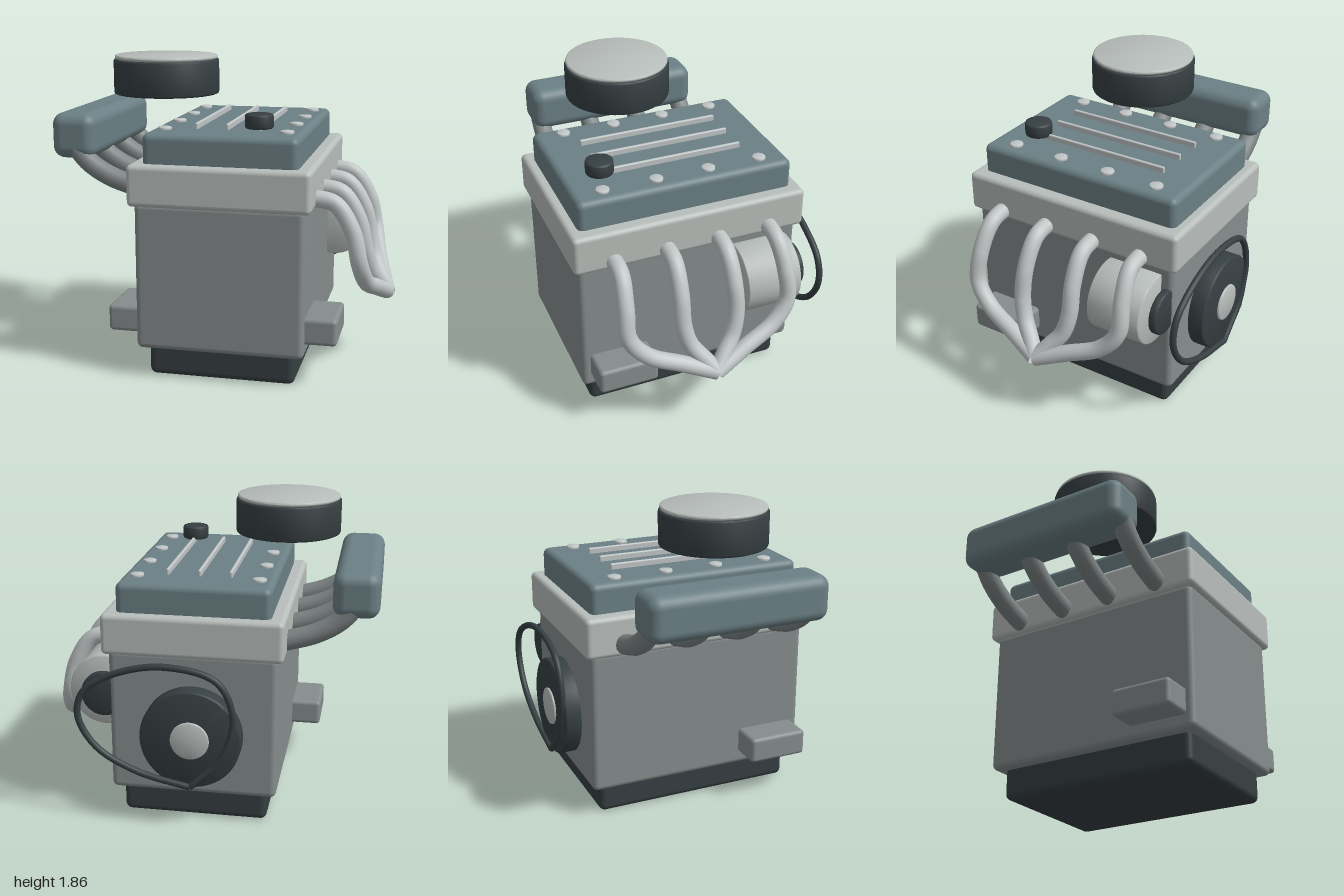
import * as THREE from 'three';
import { RoundedBoxGeometry } from 'three/addons/geometries/RoundedBoxGeometry.js';
import { toCreasedNormals } from 'three/addons/utils/BufferGeometryUtils.js';

const mat = (color) => new THREE.MeshStandardMaterial({ color, side: THREE.DoubleSide });

export function createModel() {
  const group = new THREE.Group();
  const dark = mat(0x363f42), teal = mat(0x6b8085), iron = mat(0x868d8d);
  const alloy = mat(0xb8bebb), steel = mat(0xc0c5c5), runnerGrey = mat(0x808686);

  function add(name, geometry, material) {
    const mesh = new THREE.Mesh(geometry, material);
    mesh.name = name;
    group.add(mesh);
    return mesh;
  }
  // Rounded box given by its extents
  function box(name, [x0, x1], [y0, y1], [z0, z1], r, material) {
    const g = new RoundedBoxGeometry(x1 - x0, y1 - y0, z1 - z0, 4, r);
    g.translate((x0 + x1) / 2, (y0 + y1) / 2, (z0 + z1) / 2);
    return add(name, g, material);
  }
  // Disc with softened rims, lying along y or z from a to b
  function disc(name, axis, radius, a, b, [u, v], bevel, material) {
    const pts = [[0, a], [radius - bevel, a], [radius - bevel * 0.3, a + bevel * 0.3], [radius, a + bevel],
      [radius, b - bevel], [radius - bevel * 0.3, b - bevel * 0.3], [radius - bevel, b], [0, b]];
    const g = new THREE.LatheGeometry(pts.map((p) => new THREE.Vector2(...p)), 48);
    if (axis === 'z') g.rotateX(Math.PI / 2).translate(u, v, 0);
    else g.translate(u, 0, v);
    return add(name, toCreasedNormals(g, 0.9), material);
  }
  function tube(name, points, radius, material, segments = 48) {
    const curve = new THREE.CatmullRomCurve3(points.map((p) => new THREE.Vector3(...p)));
    return add(name, new THREE.TubeGeometry(curve, segments, radius, 16), material);
  }

  // Main castings
  box('oilPan', [-0.385, 0.49], [0, 0.22], [-0.585, 0.68], 0.04, dark);
  box('engineBlock', [-0.445, 0.55], [0.18, 1.06], [-0.645, 0.74], 0.035, iron);
  box('cylinderHead', [-0.48, 0.585], [1.04, 1.285], [-0.68, 0.77], 0.03, alloy);
  box('valveCover', [-0.4, 0.505], [1.25, 1.46], [-0.62, 0.71], 0.04, teal);
  box('rightMount', [-0.63, -0.4], [0.26, 0.42], [0.32, 0.69], 0.025, iron);
  box('leftMount', [0.5, 0.735], [0.26, 0.42], [0.32, 0.69], 0.025, iron);

  // Cover ribs, bolts and filler cap
  for (const x of [-0.135, 0.05, 0.24])
    box('coverRib', [x - 0.01, x + 0.01], [1.45, 1.495], [-0.4, 0.48], 0.008, steel);
  const cylinders = [-0.445, -0.12, 0.205, 0.53];
  for (const z of cylinders)
    for (const x of [-0.31, 0.41])
      disc('coverBolt', 'y', 0.04, 1.45, 1.476, [x, z], 0.004, steel);
  disc('oilCap', 'y', 0.083, 1.478, 1.562, [0.24, 0.487], 0.012, dark);

  // Air filter
  disc('airFilter', 'y', 0.322, 1.625, 1.836, [-0.41, 0.137], 0.012, dark);
  disc('airFilterLid', 'y', 0.314, 1.836, 1.86, [-0.41, 0.137], 0.01, alloy);

  // Intake side
  box('intakePlenum', [-1, -0.73], [1.27, 1.54], [-0.51, 0.59], 0.07, teal);
  for (const z of cylinders)
    tube('intakeRunner', [[-0.88, 1.37, z], [-0.78, 1.25, z], [-0.64, 1.165, z], [-0.43, 1.1, z]], 0.06, runnerGrey);

  // Exhaust pipes merging at one point: x, y, share of the way to the merge
  const pipePath = [[0.54, 1.095, 0], [0.69, 1.065, 0], [0.795, 0.91, -0.03], [0.84, 0.72, -0.03],
    [0.87, 0.59, 0.18], [0.915, 0.5, 0.6], [0.965, 0.42, 1]];
  for (const z of cylinders)
    tube('exhaustPipe', pipePath.map(([x, y, t]) => [x, y, z + (0.045 - z) * t]), 0.05, steel, 64);

  // Alternator, crank pulley and belt at the back
  disc('alternator', 'z', 0.218, -0.57, -0.225, [0.59, 0.78], 0.006, alloy);
  disc('alternatorShaft', 'z', 0.04, -0.6, -0.55, [0.59, 0.78], 0.004, steel);
  disc('alternatorPulley', 'z', 0.136, -0.635, -0.585, [0.59, 0.775], 0.012, dark);
  disc('crankPulley', 'z', 0.3, -0.745, -0.62, [0.05, 0.567], 0.012, dark);
  disc('crankHub', 'z', 0.115, -0.758, -0.73, [0.05, 0.567], 0.006, alloy);
  const belt = [[0.05, 0.27], [-0.13, 0.46], [-0.205, 0.72], [-0.11, 0.94], [0.2, 1.014], [0.5, 0.95],
    [0.68, 0.83], [0.715, 0.68], [0.61, 0.49], [0.37, 0.35], [0.05, 0.27]];
  tube('driveBelt', belt.map(([x, y]) => [x, y, -0.748]), 0.02, dark, 120);

  return group;
}
